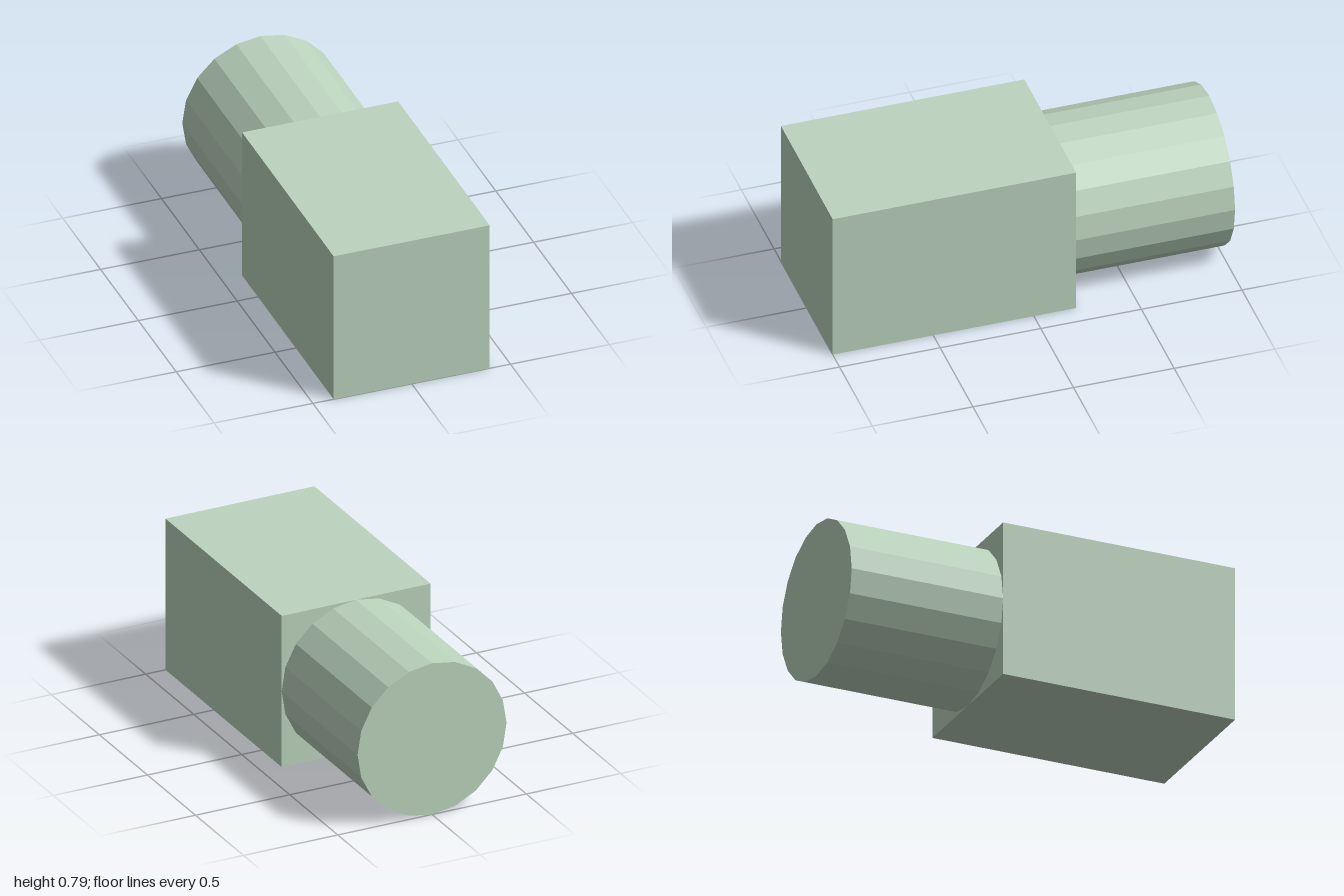
import * as THREE from 'three';

export function createModel() {
  const group = new THREE.Group();
  group.name = 'blockWithCylinder';

  const size = 0.79;    // width and height of the block, diameter of the cylinder
  const joint = -0.21;  // z where the block meets the cylinder
  const material = new THREE.MeshStandardMaterial({ color: 0xbcd4be, flatShading: true });

  const add = (name, geometry, zFrom, zTo) => {
    const mesh = new THREE.Mesh(geometry, material);
    mesh.name = name;
    mesh.position.set(0, size / 2, (zFrom + zTo) / 2);
    group.add(mesh);
  };

  // Square block at the front
  add('block', new THREE.BoxGeometry(size, size, 1 - joint), joint, 1);

  // 20-sided cylinder at the back, lying along z
  const cylinder = new THREE.CylinderGeometry(size / 2, size / 2, joint + 1, 20);
  cylinder.rotateX(Math.PI / 2);
  add('cylinder', cylinder, -1, joint);

  return group;
}
